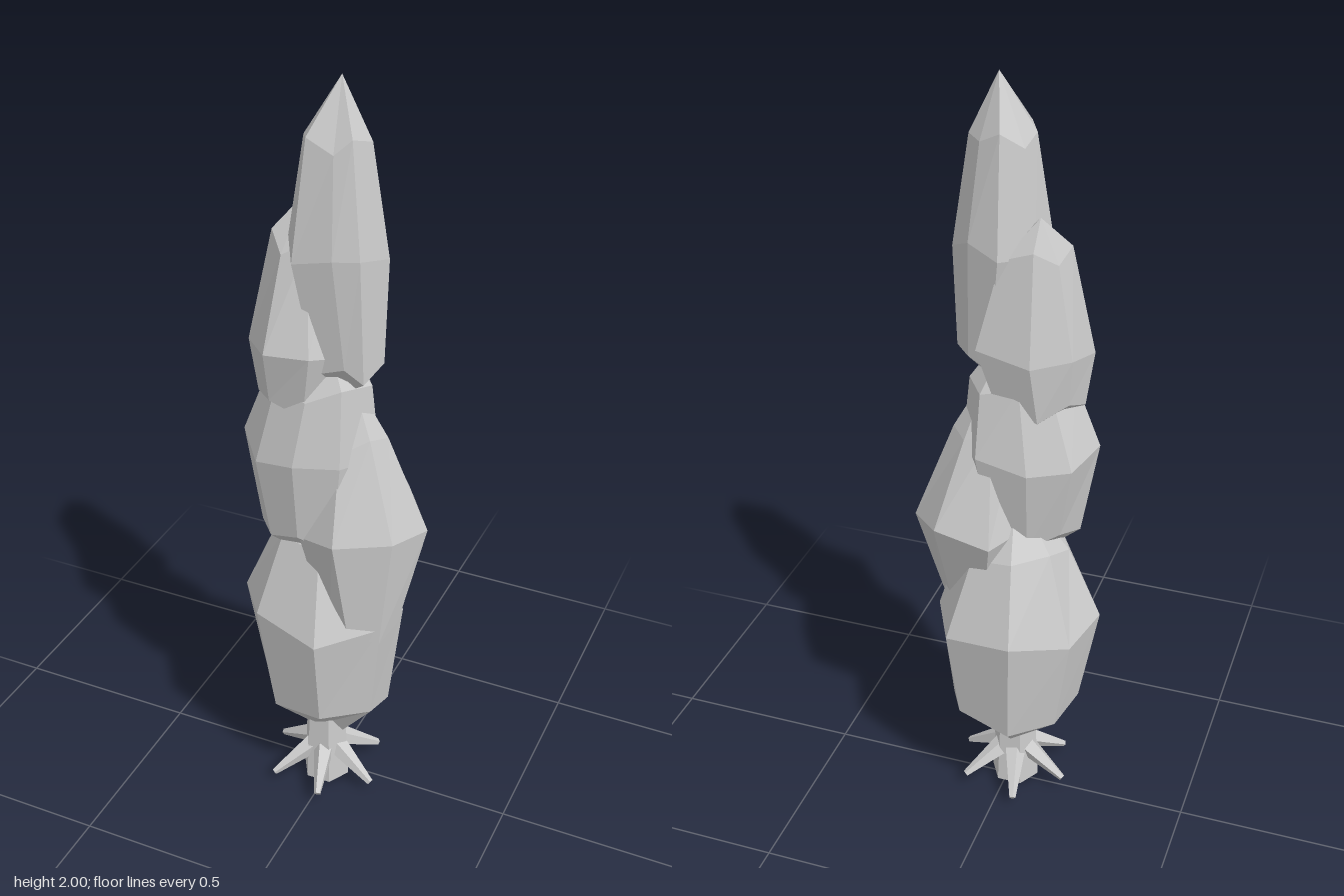
import * as THREE from 'three';

const grey = new THREE.MeshStandardMaterial({ color: 0xcccccc });
grey.name = 'pale grey';

function facetedMesh(name, geometry) {
  const g = geometry.index ? geometry.toNonIndexed() : geometry;
  g.computeVertexNormals();
  const mesh = new THREE.Mesh(g, grey);
  mesh.name = name;
  return mesh;
}

// Leaf clump: one outline (x, z) at its widest, repeated up the rings.
// Each ring is [y, scale, centre x, centre z].
function clump(name, outline, rings, wobble = 0.02) {
  const mid = outline.reduce((s, p) => [s[0] + p[0] / outline.length, s[1] + p[1] / outline.length], [0, 0]);
  const pts = outline
    .map(([x, z]) => [x - mid[0], z - mid[1]])
    .sort((a, b) => Math.atan2(a[1], a[0]) - Math.atan2(b[1], b[0]));
  const n = pts.length;
  const levels = rings.map(([y, s, cx = mid[0], cz = mid[1]], r) =>
    pts.map(([x, z], i) => {
      const lift = s > 0 ? wobble * Math.sin(i * 2.4 + r * 1.7) : 0;
      return [cx + x * s, y + lift, cz + z * s];
    }));
  const pos = [];
  const tri = (...corners) => corners.forEach((c) => pos.push(...c));
  for (let r = 0; r < levels.length - 1; r++) {
    for (let i = 0; i < n; i++) {
      const j = (i + 1) % n;
      const [a, b, c, d] = [levels[r][i], levels[r][j], levels[r + 1][i], levels[r + 1][j]];
      if (rings[r][1] > 0) tri(a, c, b);
      if (rings[r + 1][1] > 0) tri(b, c, d);
    }
  }
  const g = new THREE.BufferGeometry();
  g.setAttribute('position', new THREE.Float32BufferAttribute(pos, 3));
  return facetedMesh(name, g);
}

export function createModel() {
  const tree = new THREE.Group();
  tree.name = 'cypressTree';

  // Foliage, from the ground up
  tree.add(clump('lowestFoliage',
    [[-0.24, 0.04], [-0.2, -0.1], [-0.07, -0.205], [0.11, -0.17], [0.18, -0.03], [0.17, 0.1], [0.03, 0.2], [-0.15, 0.16]],
    [[0.16, 0, -0.01, 0.01], [0.18, 0.25, -0.01, 0.01], [0.29, 0.8, -0.015, 0], [0.58, 1], [0.8, 0.62], [0.96, 0]]));
  tree.add(clump('rightFoliage',
    [[0.24, -0.03], [0.2, 0.105], [0.07, 0.175], [-0.04, 0.13], [-0.07, 0], [0, -0.15], [0.145, -0.145]],
    [[0.5, 0, 0.1, 0.04], [0.57, 0.55, 0.1, 0.05], [0.86, 1], [1.11, 0.5, 0.06, 0.02], [1.27, 0, 0.05, 0.02]]));
  tree.add(clump('leftFoliage',
    [[-0.22, 0.06], [-0.18, -0.05], [-0.08, -0.1], [0.05, -0.1], [0.12, 0], [0.07, 0.13], [-0.04, 0.165], [-0.15, 0.14]],
    [[0.74, 0, -0.07, 0.05], [0.83, 0.75, -0.05, 0.04], [1.06, 1], [1.25, 0.75, -0.03, 0.03], [1.42, 0, -0.02, 0.03]]));
  tree.add(clump('upperFoliage',
    [[-0.2, 0.06], [-0.17, -0.03], [-0.085, -0.095], [0.05, -0.09], [0.06, 0.05], [0, 0.15], [-0.11, 0.165]],
    [[1.13, 0, -0.08, 0.03], [1.2, 0.75, -0.08, 0.03], [1.35, 1], [1.6, 0.58, -0.07, 0.01], [1.69, 0, -0.085, -0.02]]));
  tree.add(clump('crownFoliage',
    [[0.14, 0.01], [0.11, 0.11], [0.05, 0.13], [-0.05, 0.13], [-0.09, 0.06], [-0.075, -0.03], [0, -0.075], [0.08, -0.05]],
    [[1.24, 0, 0.06, 0.04], [1.31, 0.72, 0.05, 0.04], [1.6, 1], [1.86, 0.66, 0.02, 0.035], [2, 0, 0.03, 0.03]]));

  // Trunk
  const trunk = facetedMesh('trunk', new THREE.CylinderGeometry(0.055, 0.066, 0.24, 6));
  trunk.position.set(-0.015, 0.12, 0.025);
  trunk.rotation.y = Math.PI / 6;
  tree.add(trunk);

  // Tapered roots splayed around the trunk
  const up = new THREE.Vector3(0, 1, 0);
  for (let i = 0; i < 6; i++) {
    const angle = (i + 0.25) * Math.PI / 3;
    const reach = 0.155;
    const inner = new THREE.Vector3(-0.015, 0.125, 0.025);
    const tip = new THREE.Vector3(-0.015 + reach * Math.cos(angle), 0.03 + 0.01 * (i % 2), 0.025 + reach * Math.sin(angle));
    const along = tip.clone().sub(inner);
    const root = facetedMesh('root', new THREE.CylinderGeometry(0.009, 0.036, along.length(), 5));
    root.position.copy(inner).add(tip).multiplyScalar(0.5);
    root.quaternion.setFromUnitVectors(up, along.normalize());
    tree.add(root);
  }
  return tree;
}
